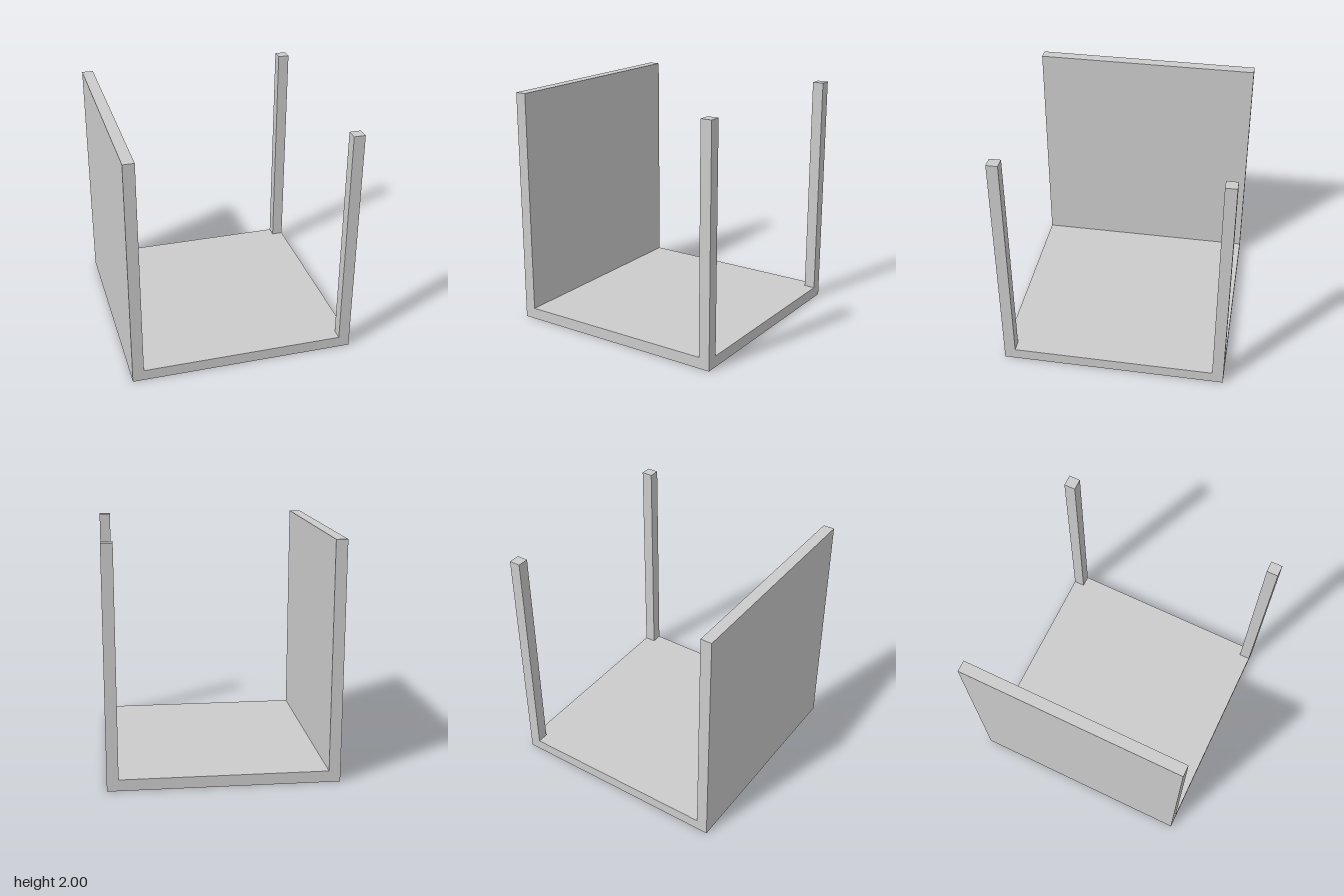
import * as THREE from 'three';

const HEIGHT = 2;
const T = HEIGHT / 21;      // thickness of floor, wall and posts
const WIDTH = 20 * T;       // square footprint

export function createModel() {
  const model = new THREE.Group();
  model.name = 'openBox';
  const material = new THREE.MeshStandardMaterial({ color: 0xcccccc, flatShading: true });

  // Box placed by its centre in x and z and by its underside in y
  function addBox(name, w, h, d, x, y, z) {
    const mesh = new THREE.Mesh(new THREE.BoxGeometry(w, h, d), material);
    mesh.name = name;
    mesh.position.set(x, y + h / 2, z);
    model.add(mesh);
  }

  const edge = (WIDTH - T) / 2;   // centre line of the wall and posts
  const rise = HEIGHT - T;        // height above the floor

  addBox('floor', WIDTH, T, WIDTH, 0, 0, 0);

  // Full wall on the right side
  addBox('rightWall', T, rise, WIDTH, -edge, T, 0);

  // Two corner posts on the left side
  addBox('frontPost', T, rise, T, edge, T, edge);
  addBox('backPost', T, rise, T, edge, T, -edge);

  return model;
}
